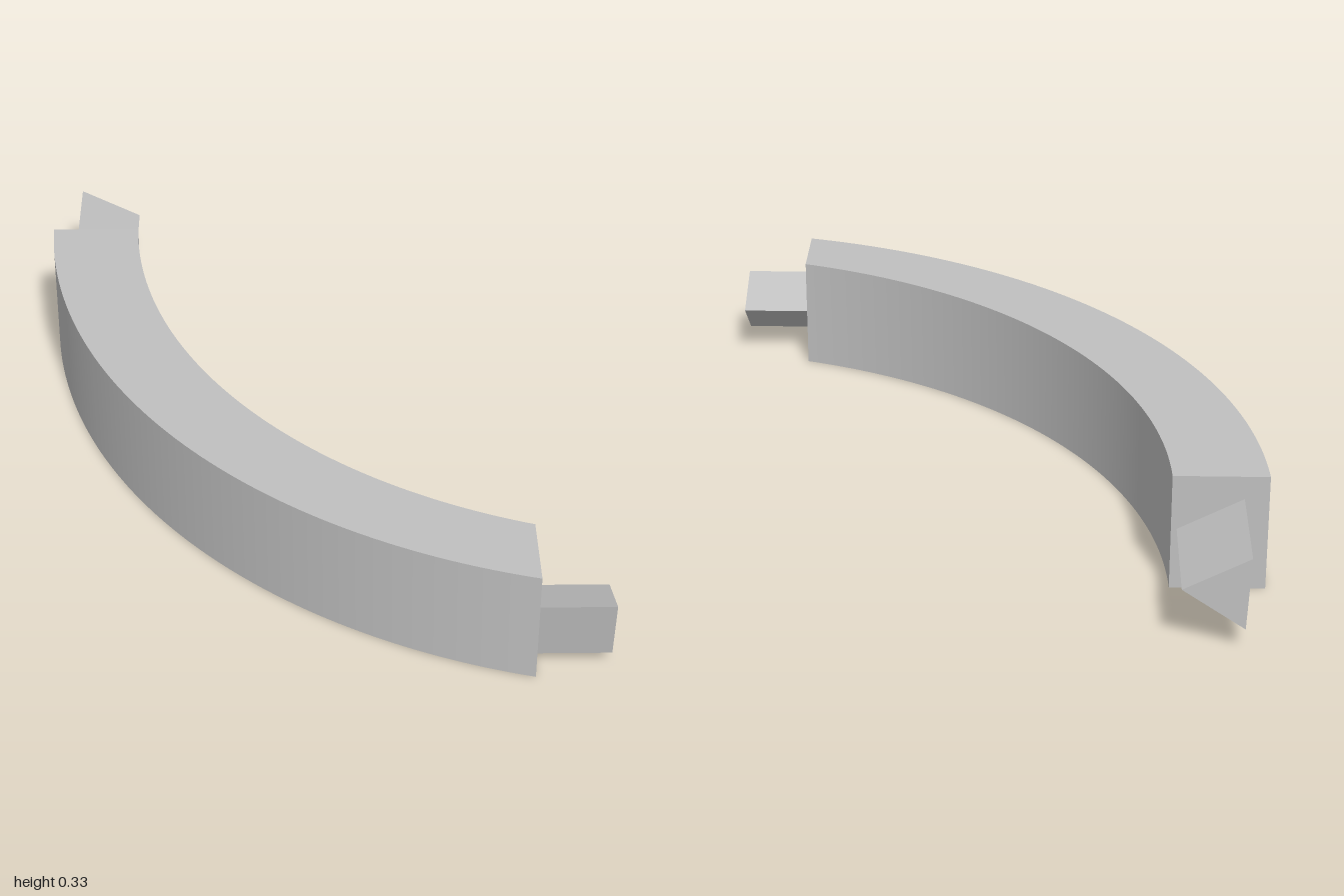
import * as THREE from 'three';
import { toCreasedNormals } from 'three/addons/utils/BufferGeometryUtils.js';

const HEIGHT = 0.33;

// Adds a circular arc about (cx, cy) running between two points
function addArc(shape, cx, cy, from, to, clockwise) {
  const angle = ([x, y]) => Math.atan2(y - cy, x - cx);
  const radius = Math.hypot(from[0] - cx, from[1] - cy);
  shape.absarc(cx, cy, radius, angle(from), angle(to), clockwise);
}

// Triangular prism extruded along +z
function prism(points, depth) {
  const shape = new THREE.Shape(points.map(([x, y]) => new THREE.Vector2(x, y)));
  return new THREE.ExtrudeGeometry(shape, { depth, bevelEnabled: false });
}

export function createModel() {
  const group = new THREE.Group();
  const grey = new THREE.MeshStandardMaterial({ color: 0xc0c0c0 });
  grey.name = 'light grey';

  const add = (name, geometry) => {
    const mesh = new THREE.Mesh(geometry, grey);
    mesh.name = name;
    group.add(mesh);
  };

  // Curved band: plan outline (x, -z) extruded upwards, slightly wider at the back
  const outline = new THREE.Shape();
  addArc(outline, 1.014, 0.729, [-0.77, 0.67], [0.57, -1.0], false);
  addArc(outline, 1.054, 0.713, [0.57, -0.78], [-0.515, 0.67], true);
  outline.closePath();
  const band = new THREE.ExtrudeGeometry(outline, {
    depth: HEIGHT, bevelEnabled: false, curveSegments: 64,
  });
  band.rotateX(-Math.PI / 2);
  add('curvedBand', toCreasedNormals(band, 0.5));

  // Back peg, pointing to -z
  const backPeg = prism([[-0.705, 0.265], [-0.695, 0.063], [-0.53, 0.175]], 0.33);
  backPeg.translate(0, 0, -1);
  add('backPeg', backPeg);

  // Front peg, pointing to +x (profile given as -z, y)
  const frontPeg = prism([[-0.985, 0.222], [-0.957, 0.043], [-0.816, 0.156]], 0.2);
  frontPeg.rotateY(Math.PI / 2);
  frontPeg.translate(0.57, 0, 0);
  add('frontPeg', frontPeg);

  return group;
}
